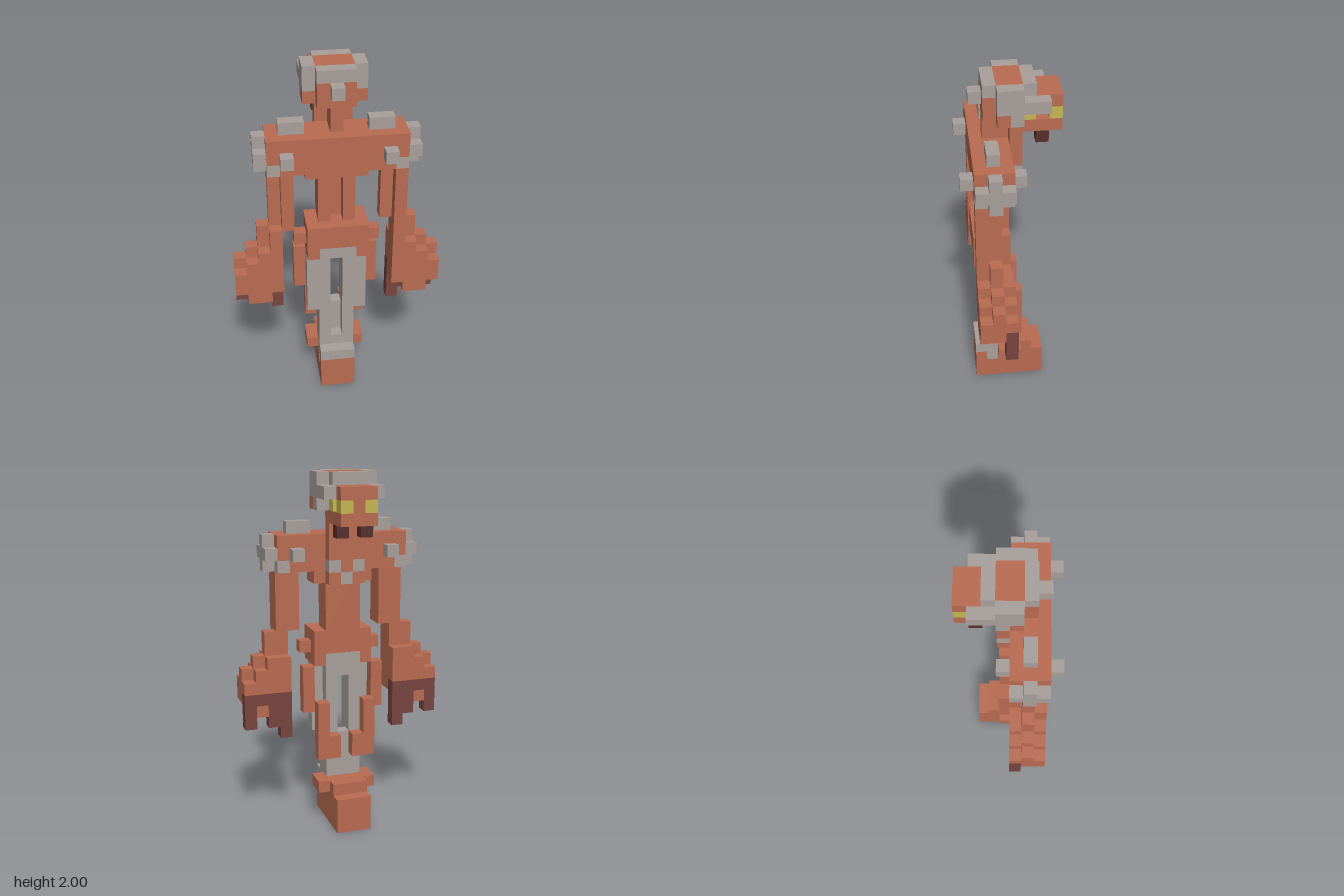
import * as THREE from 'three';

const U = 1 / 15; // one block

export function createModel() {
  const root = new THREE.Group();
  root.name = 'blockFigure';
  const mat = (name, color) => {
    const m = new THREE.MeshStandardMaterial({ color });
    m.name = name;
    return m;
  };
  const clay = mat('clay', 0xb96b51);
  const grey = mat('grey', 0xa89f9b);
  const dark = mat('darkRed', 0x78443f);
  const mouth = mat('mouthBrown', 0x552e2a);
  const gold = mat('gold', 0xc5b650);

  // Box given by its block limits
  const box = (name, m, x0, x1, y0, y1, z0, z1) => {
    const g = new THREE.BoxGeometry((x1 - x0) * U, (y1 - y0) * U, (z1 - z0) * U);
    const mesh = new THREE.Mesh(g, m);
    mesh.position.set((x0 + x1) * U / 2, (y0 + y1) * U / 2, (z0 + z1) * U / 2);
    mesh.name = name;
    root.add(mesh);
  };
  // Box centred on x = 0, and a mirrored pair of boxes
  const mid = (name, m, hx, ...r) => box(name, m, -hx, hx, ...r);
  const pair = (name, m, x0, x1, ...r) => {
    box(name + 'Left', m, x0, x1, ...r);
    box(name + 'Right', m, -x1, -x0, ...r);
  };

  // Foot and ankle
  mid('foot', clay, 1.5, 0, 3, -3, 3);
  mid('ankle', clay, 1.5, 3, 4, -2, 1);
  mid('ankleCuff', grey, 1.5, 3, 4, 1, 3);
  pair('ankleStud', clay, 1.5, 2.5, 3, 4, -1, 1);
  pair('cuffDrip', grey, 1.5, 1.51, 2, 3, 1, 2);

  // Grey legs with a central slot
  mid('shin', grey, 1.5, 4, 5, 0, 2);
  mid('shinBack', grey, 1.5, 5, 8, 0, 1);
  pair('shinRail', grey, 0.5, 1.5, 5, 8, 1, 2);
  pair('thighInner', grey, 0.5, 1.5, 8, 14, 0, 2);
  pair('thighOuter', grey, 1.5, 2.5, 8, 14, 1, 2);
  mid('thighBridge', grey, 0.5, 13, 14, 0, 1);
  pair('kneeOuter', clay, 1.5, 2.5, 6, 11, -1, 0);
  pair('kneeInner', clay, 0.5, 1.5, 6, 8, -1, 0);

  // Pelvis
  mid('pelvis', clay, 2.5, 15, 17, 0, 3);
  pair('pelvisSide', clay, 1.5, 2.5, 14, 15, 0, 3);
  mid('pelvisPlate', grey, 1.5, 14, 15, 0, 3);
  pair('hipStud', clay, 2.5, 3.5, 15, 16, 1, 2);
  pair('hipPlate', clay, 2.5, 3.5, 10, 14, 0, 1);

  // Spine
  mid('spine', clay, 1.5, 17, 22, 0, 1);
  pair('spineRail', clay, 0.5, 1.5, 17, 22, 1, 2);

  // Chest and shoulders
  mid('chest', clay, 5.5, 23, 25, 0, 3);
  mid('chestLower', clay, 4.5, 22, 23, 0, 3);
  pair('chestCorner', grey, 4.5, 5.5, 22, 23, 0, 3);
  mid('ribs', clay, 2.5, 21, 22, 0, 2);
  mid('breastUpper', clay, 1.5, 23, 25, -1, 0);
  mid('breastMiddle', clay, 0.5, 22, 23, -1, 0);
  pair('breastPatch', grey, 0.5, 1.5, 22, 23, -1, 0);
  pair('breastLower', clay, 0.5, 1.5, 21, 22, -1, 0);
  mid('breastDrop', grey, 0.5, 21, 22, -1, 0);
  pair('shoulderRidge', grey, 2.5, 4.5, 25, 26, 1, 2);
  pair('shoulderPost', grey, 5.5, 6.5, 22, 25, 1, 2);
  pair('shoulderBar', grey, 5.5, 6.5, 23, 24, 0, 3);
  pair('chestSpikeFront', grey, 3.5, 4.5, 23, 24, 3, 4);
  pair('chestSpikeBack', grey, 3.5, 4.5, 23, 24, -1, 0);

  // Arms, each with one front column
  pair('upperArm', clay, 3.5, 5.5, 17, 22, 1, 2);
  box('armColumnLeft', clay, 4.5, 5.5, 17, 22, 2, 3);
  box('armColumnRight', clay, -4.5, -3.5, 17, 22, 2, 3);
  pair('elbow', clay, 4.5, 6.5, 15, 17, 1, 2);
  pair('elbowFront', clay, 4.5, 5.5, 15, 17, 2, 3);
  pair('wrist', clay, 4.5, 6.5, 14, 15, 0, 3);
  pair('wristRidge', clay, 6.5, 7.5, 14, 15, 1, 2);

  // Hands with dark palms and fingers
  pair('hand', clay, 4.5, 7.5, 12, 14, 0, 3);
  pair('handEdge', clay, 7.5, 8.5, 12, 13, 0, 3);
  pair('handEdgeRidge', clay, 7.5, 8.5, 13, 14, 1, 2);
  pair('handFront', clay, 4.5, 8.5, 11, 12, 1, 3);
  pair('handHeel', clay, 5.5, 7.5, 10, 11, 1, 3);
  pair('palm', dark, 4.5, 8.5, 11, 12, 0, 1);
  pair('palmCentre', clay, 6.5, 7.5, 10, 11, 0, 1);
  pair('thumb', dark, 4.5, 5.5, 8, 11, 0, 1);
  pair('innerFinger', dark, 5.5, 6.5, 9, 11, 0, 1);
  pair('outerFinger', dark, 7.5, 8.5, 9, 11, 0, 1);

  // Neck and jaw
  mid('neckPost', clay, 0.5, 25, 27, 0, 2);
  mid('throat', clay, 1.5, 25, 26, -1, 0);
  mid('jaw', clay, 1.5, 26, 27, -4, 0);
  pair('fang', mouth, 0.5, 1.5, 25, 26, -3, -2);

  // Head
  mid('skull', clay, 1.5, 27, 29, -1, 2);
  pair('cheek', clay, 1.5, 2.5, 27, 28, 0, 1);
  pair('temple', grey, 1.5, 2.5, 27, 28, -1, 0);
  mid('brow', clay, 1.5, 28, 29, -4, -1);
  mid('nose', clay, 0.5, 27, 28, -4, -3);
  pair('eye', gold, 0.5, 1.5, 27, 28, -4, -3);
  mid('innerEye', gold, 1.5, 27, 28, -2, -1);

  // Helmet band around an open crown
  mid('crown', clay, 1.5, 29, 30, -1, 1);
  mid('bandFace', grey, 1.5, 29, 30, -2, -1);
  mid('bandNape', grey, 1.5, 29, 30, 1, 2);
  pair('bandSide', grey, 1.5, 2.5, 29, 30, -1, 1);
  pair('bandCheek', grey, 1.5, 2.5, 28, 29, -3, 1);
  mid('bandKnob', grey, 0.5, 28, 29, 2, 3);

  return root;
}
